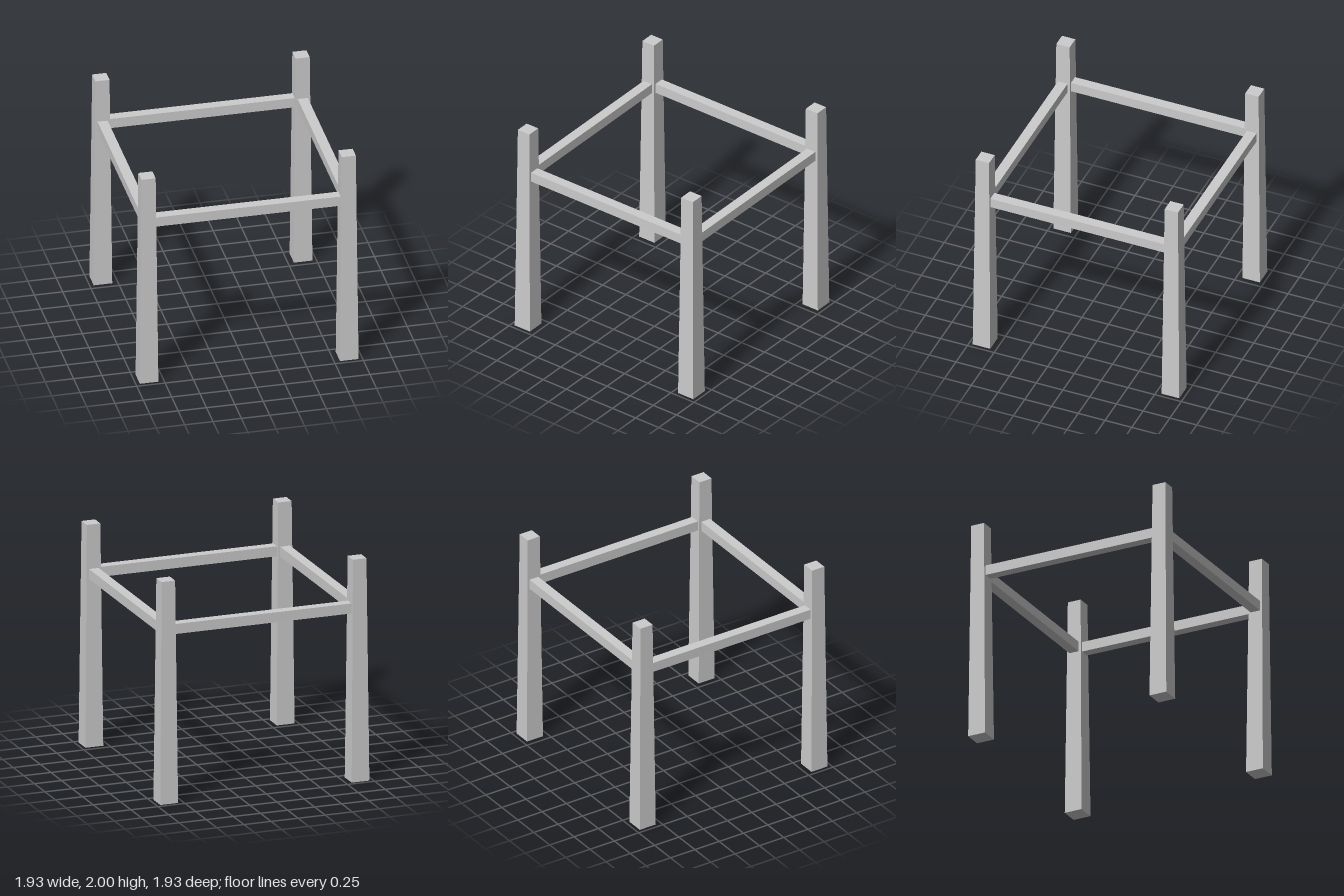
import * as THREE from 'three';

const POST = 0.883;      // post centre offset in x and z
const FOOT = 0.164;      // post width at the floor
const HEAD = 0.125;      // post width at the top
const HEIGHT = 2;
const RAIL = 0.09;       // rail thickness
const RAIL_Y = 1.557;
const RAIL_LENGTH = 1.64;

// Square post, tapering evenly on all four sides
function taperedPost() {
  const geometry = new THREE.BoxGeometry(FOOT, HEIGHT, FOOT);
  geometry.translate(0, HEIGHT / 2, 0);
  const p = geometry.attributes.position;
  for (let i = 0; i < p.count; i++) {
    if (p.getY(i) > HEIGHT / 2) {
      p.setX(i, p.getX(i) * HEAD / FOOT);
      p.setZ(i, p.getZ(i) * HEAD / FOOT);
    }
  }
  geometry.computeVertexNormals();
  return geometry;
}

export function createModel() {
  const model = new THREE.Group();
  model.name = 'tableFrame';
  const material = new THREE.MeshStandardMaterial({ color: 0xcccccc, flatShading: true });

  const add = (name, geometry, x, y, z) => {
    const mesh = new THREE.Mesh(geometry, material);
    mesh.name = name;
    mesh.position.set(x, y, z);
    model.add(mesh);
  };

  // Four corner legs
  const legGeometry = taperedPost();
  for (const [zName, z] of [['front', 1], ['back', -1]]) {
    for (const [xName, x] of [['Left', 1], ['Right', -1]]) {
      add(`${zName}${xName}Leg`, legGeometry, x * POST, 0, z * POST);
    }
  }

  // Rails joining neighbouring legs
  const crossRail = new THREE.BoxGeometry(RAIL_LENGTH, RAIL, RAIL);
  const sideRail = new THREE.BoxGeometry(RAIL, RAIL, RAIL_LENGTH);
  add('frontRail', crossRail, 0, RAIL_Y, POST);
  add('backRail', crossRail, 0, RAIL_Y, -POST);
  add('leftRail', sideRail, POST, RAIL_Y, 0);
  add('rightRail', sideRail, -POST, RAIL_Y, 0);

  return model;
}
